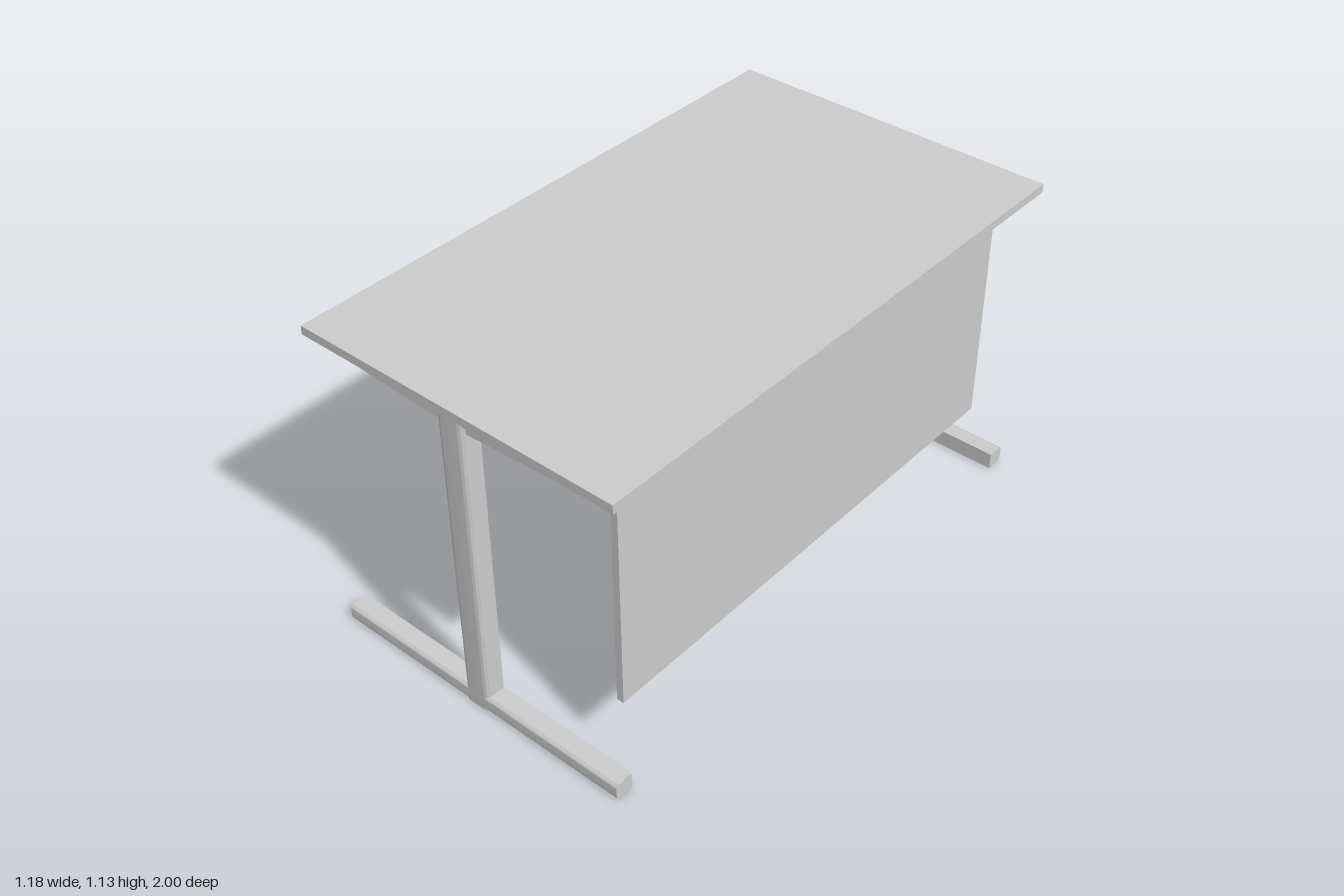
import * as THREE from 'three';
import { toCreasedNormals } from 'three/addons/utils/BufferGeometryUtils.js';

export function createModel() {
  const desk = new THREE.Group();
  desk.name = 'desk';
  const material = new THREE.MeshStandardMaterial({ color: 0xcccccc });

  const add = (parent, name, geometry, x = 0, y = 0, z = 0) => {
    const mesh = new THREE.Mesh(geometry, material);
    mesh.name = name;
    mesh.position.set(x, y, z);
    parent.add(mesh);
    return mesh;
  };
  const box = (parent, name, x0, x1, y0, y1, z0, z1) =>
    add(parent, name, new THREE.BoxGeometry(x1 - x0, y1 - y0, z1 - z0),
      (x0 + x1) / 2, (y0 + y1) / 2, (z0 + z1) / 2);
  const extrude = (shape, depth) => toCreasedNormals(
    new THREE.ExtrudeGeometry(shape, { depth, bevelEnabled: false, curveSegments: 6 }), 0.6);

  // Rectangle whose two corners at v1 are rounded
  const roundedSide = (u0, u1, v0, v1, r) => {
    const s = new THREE.Shape();
    s.moveTo(u0, v0);
    s.lineTo(u1, v0);
    s.lineTo(u1, v1 - r);
    s.absarc(u1 - r, v1 - r, r, 0, Math.PI / 2, false);
    s.lineTo(u0 + r, v1);
    s.absarc(u0 + r, v1 - r, r, Math.PI / 2, Math.PI, false);
    s.closePath();
    return s;
  };

  // Work surface and the hanging panel below one long edge
  box(desk, 'tabletop', -0.59, 0.59, 1.1, 1.13, -1, 1);
  box(desk, 'modestyPanel', 0.47, 0.495, 0.26, 1.1, -0.885, 0.885);

  // Rail joining both leg frames under the top
  box(desk, 'crossRail', -0.03, 0.03, 1.068, 1.1, -0.94, 0.94);

  // Leg frame, built at the +z end
  const makeLegFrame = () => {
    const frame = new THREE.Group();
    frame.name = 'legFrame';

    // Upright with a rounded outer face
    const column = add(frame, 'column', extrude(roundedSide(-0.05, 0.05, -1, -0.935, 0.02)
      && roundedSide(-0.05, 0.05, -0.065, 0, 0.02), 1.1));
    column.rotation.x = -Math.PI / 2;
    column.scale.y = 1;
    column.position.set(0, 0, 0.935);
    column.rotation.set(Math.PI / 2, 0, 0);
    column.position.set(0, 1.1, 1);

    // Foot bar with rounded outer edges, running across the desk
    const foot = add(frame, 'foot', extrude(roundedSide(0, 0.06, 0.935, 1, 0.015), 1.13));
    // section u -> y, section v -> z, depth -> x
    foot.matrix.makeBasis(new THREE.Vector3(0, 1, 0), new THREE.Vector3(0, 0, 1),
      new THREE.Vector3(1, 0, 0)).setPosition(-0.565, 0, 0);
    foot.matrix.decompose(foot.position, foot.quaternion, foot.scale);

    // Support arms that taper towards the long edges
    const arm = new THREE.Shape();
    arm.moveTo(-0.53, 1.1);
    arm.lineTo(-0.53, 1.09);
    arm.lineTo(-0.05, 1.064);
    arm.lineTo(0.05, 1.064);
    arm.lineTo(0.53, 1.09);
    arm.lineTo(0.53, 1.1);
    add(frame, 'supportArm', extrude(arm, 0.095), 0, 0, 0.89);
    return frame;
  };

  // The far frame is the near one turned half way round
  const near = makeLegFrame();
  const far = makeLegFrame();
  far.rotation.y = Math.PI;
  desk.add(near, far);
  return desk;
}
